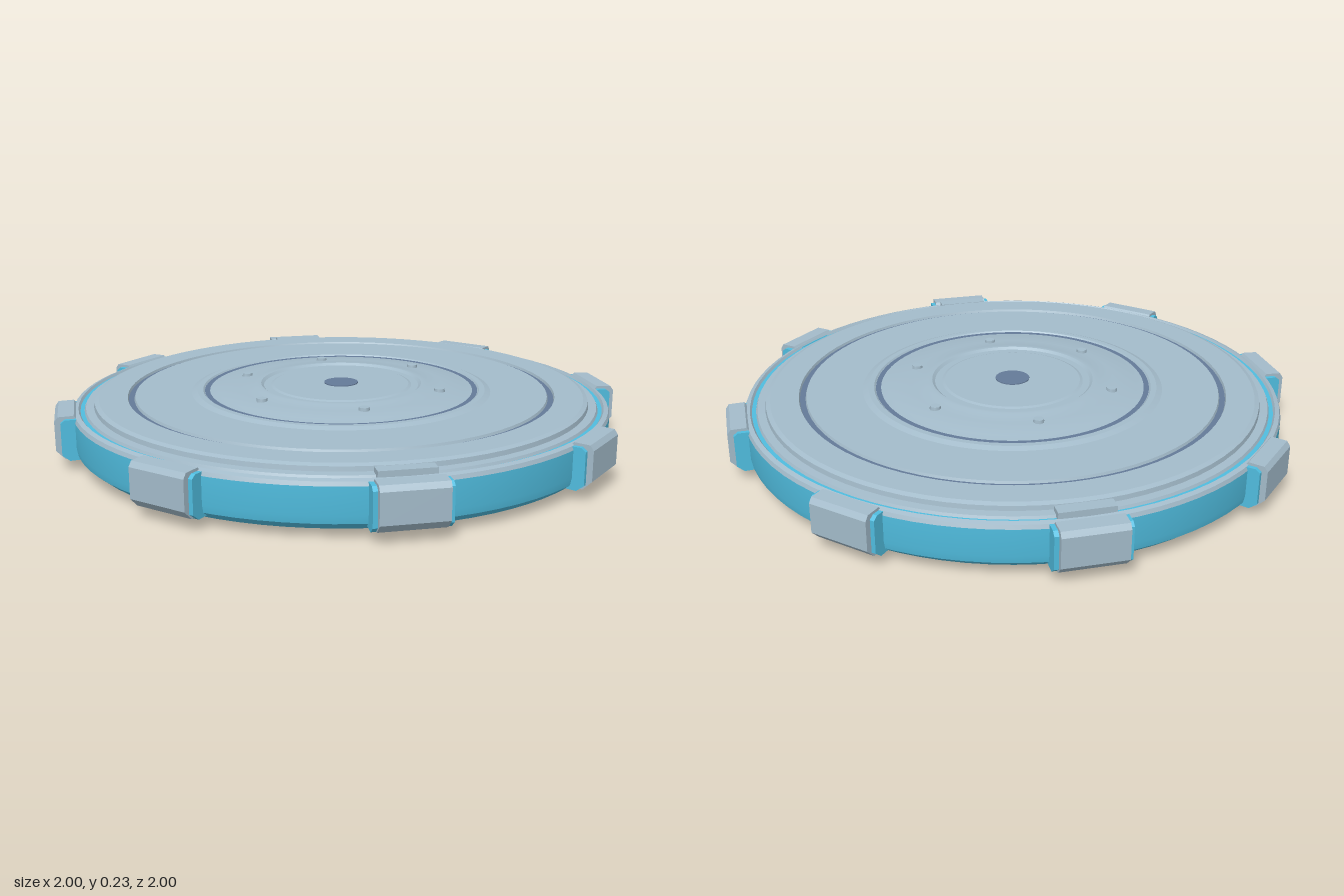
import * as THREE from 'three';
import { toCreasedNormals } from 'three/addons/utils/BufferGeometryUtils.js';

export function createModel() {
  const model = new THREE.Group();
  const mat = (name, color) => {
    const m = new THREE.MeshStandardMaterial({ color });
    m.name = name;
    return m;
  };
  const grey = mat('pale steel', 0xa3bbca);
  const blue = mat('cyan shell', 0x50bddf);
  const dark = mat('slate groove', 0x647a98);

  const add = (name, geometry, material, parent = model) => {
    const mesh = new THREE.Mesh(geometry, material);
    mesh.name = name;
    parent.add(mesh);
    return mesh;
  };
  // Turned part; profile runs [radius, height] from underside, outwards, to the top
  const turned = (name, profile, material) => {
    const pts = profile.map(([r, y]) => new THREE.Vector2(r, y));
    return add(name, toCreasedNormals(new THREE.LatheGeometry(pts, 80), 0.3), material);
  };
  // Flat ring facing up
  const ring = (name, inner, outer, y, material) => {
    const g = new THREE.RingGeometry(inner, outer, 80);
    g.rotateX(-Math.PI / 2);
    add(name, g, material).position.y = y;
  };
  // Runs a builder inside a holder turned about the vertical axis
  const around = (name, count, build) => {
    for (let i = 0; i < count; i++) {
      const holder = new THREE.Group();
      holder.name = name;
      holder.rotation.y = (i / count) * Math.PI * 2;
      build(holder, i);
      model.add(holder);
    }
  };

  // Outer blue shell with bevelled underside
  turned('outerShell', [
    [0.77, 0.003], [0.84, 0.005], [0.905, 0.025], [0.935, 0.05], [0.94, 0.075], [0.94, 0.165], [0.932, 0.172],
  ], blue);

  // Pale lip on top of the shell
  turned('topLip', [
    [0.94, 0.165], [0.935, 0.178], [0.92, 0.183], [0.912, 0.172], [0.9, 0.172],
    [0.895, 0.183], [0.865, 0.185],
  ], grey);
  ring('lipStripe', 0.9, 0.914, 0.1745, blue);

  // Upper plate: stepped rim, groove, then raised concentric steps
  turned('upperPlate', [
    [0.87, 0.17], [0.865, 0.2], [0.85, 0.206], [0.752, 0.206], [0.748, 0.196], [0.73, 0.196],
    [0.726, 0.206], [0.53, 0.206], [0.51, 0.214], [0.49, 0.214], [0.485, 0.209], [0.465, 0.209],
    [0.44, 0.216], [0.36, 0.223], [0.31, 0.226], [0.3, 0.229], [0.285, 0.229], [0.275, 0.221],
    [0.25, 0.221], [0.24, 0.225], [0, 0.225],
  ], grey);
  ring('outerGroove', 0.729, 0.749, 0.1975, dark);
  ring('innerGroove', 0.466, 0.484, 0.2098, dark);

  // Underside with a rim, a shallow pan and a recessed hub
  turned('underPlate', [
    [0, 0.028], [0.315, 0.028], [0.315, 0.012], [0.5, 0.012], [0.71, 0.014], [0.712, 0],
    [0.76, 0], [0.785, 0.006],
  ], grey);

  // Centre studs on both faces
  for (const [name, y] of [['topHubStud', 0.2255], ['bottomHubStud', 0.0275]]) {
    add(name, new THREE.CylinderGeometry(0.06, 0.06, 0.006, 32), dark).position.y = y;
  }

  // Six small bolts on each face
  around('bolts', 6, (holder) => {
    const bolt = new THREE.CylinderGeometry(0.018, 0.02, 0.014, 8);
    add('topBolt', bolt, grey, holder).position.set(0, 0.226, 0.36);
    add('bottomBolt', bolt, grey, holder).position.set(0, 0.012, 0.36);
  });

  // Thin tabs inside the underside pan
  around('underTab', 12, (holder) => {
    add('tab', new THREE.BoxGeometry(0.08, 0.008, 0.09), grey, holder).position.set(0, 0.012, 0.64);
  });

  // Clamp section in (radius, height), extruded across its width
  const clampGeometry = (section, width) => {
    const shape = new THREE.Shape(section.map(([r, y]) => new THREE.Vector2(r, y)));
    const g = new THREE.ExtrudeGeometry(shape, { depth: width, bevelEnabled: false });
    g.translate(0, 0, -width / 2);
    g.rotateY(-Math.PI / 2);
    return g;
  };
  const cheek = clampGeometry([[0.88, 0.04], [0.955, 0.035], [0.98, 0.055], [0.98, 0.165], [0.965, 0.177], [0.92, 0.177]], 0.24);
  const cap = clampGeometry([[0.92, 0.045], [0.97, 0.038], [0.992, 0.06], [1, 0.068], [1, 0.168], [0.988, 0.185], [0.935, 0.187], [0.925, 0.175]], 0.21);

  // Eight clamps around the rim: blue cheeks wrapped by a pale cap
  around('rimClamp', 8, (holder, i) => {
    const inset = i % 2 ? -0.008 : 0;
    add('clampCheeks', cheek, blue, holder).position.z = inset;
    add('clampCap', cap, grey, holder).position.z = inset;
    // Front and back carry an extra inner latch
    if (i % 4 === 0) {
      add('innerLatch', new THREE.BoxGeometry(0.18, 0.025, 0.045), grey, holder).position.set(0, 0.188, 0.89);
    }
  });

  return model;
}
